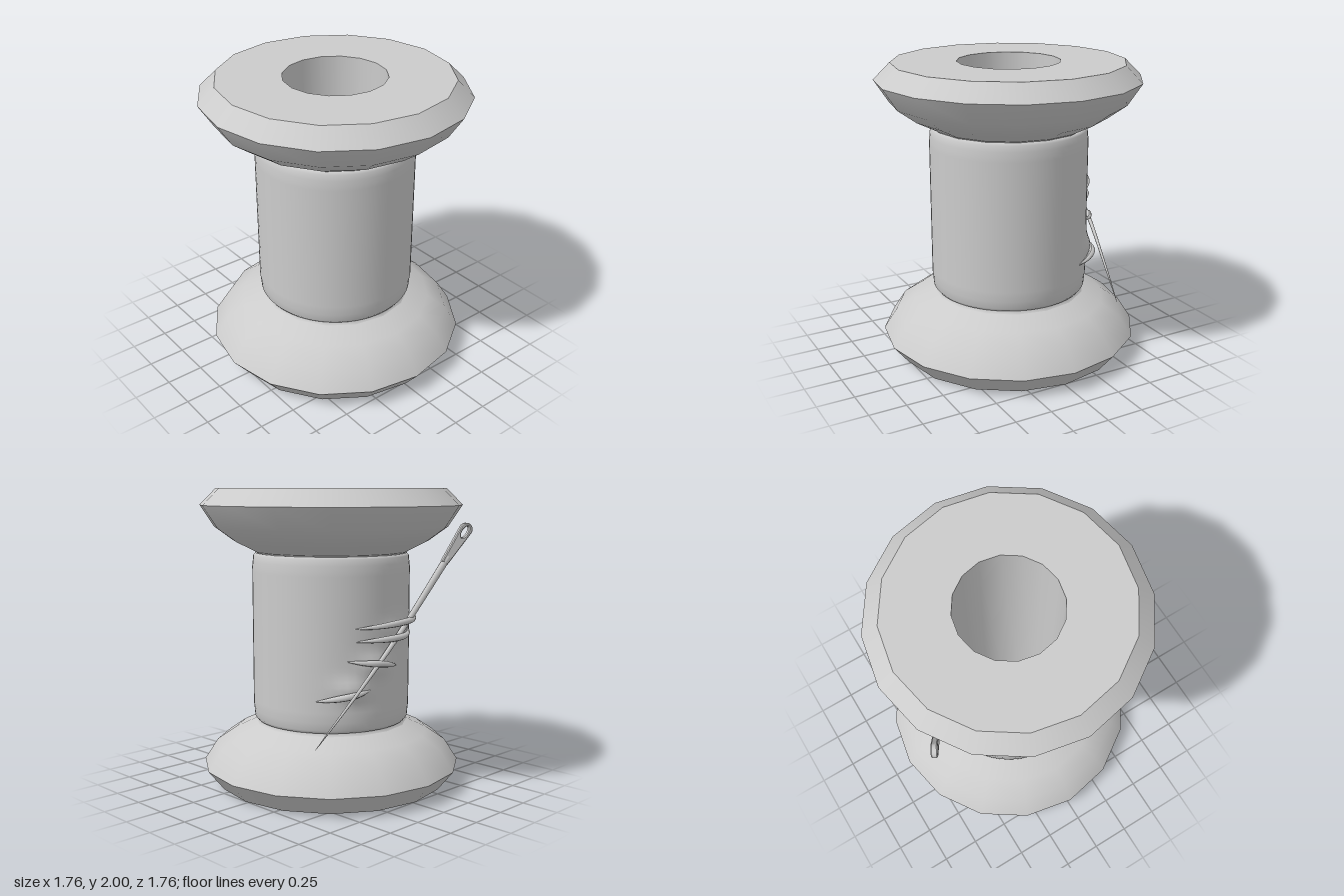
import * as THREE from 'three';
import { mergeVertices } from 'three/addons/utils/BufferGeometryUtils.js';

const grey = new THREE.MeshStandardMaterial({ color: 0xcccccc });
const V = (x, y, z) => new THREE.Vector3(x, y, z);

function add(parent, name, geometry) {
  const mesh = new THREE.Mesh(geometry, grey);
  mesh.name = name;
  parent.add(mesh);
  return mesh;
}

function lathe(profile, sides) {
  return new THREE.LatheGeometry(profile.map(([r, y]) => new THREE.Vector2(r, y)), sides);
}

// Tube whose radius follows a rule along its length
function taperedTube(points, radius, rows, sides) {
  const curve = new THREE.CatmullRomCurve3(points);
  const geo = new THREE.TubeGeometry(curve, rows, 1, sides);
  const pos = geo.attributes.position;
  const p = V(0, 0, 0);
  for (let i = 0; i < pos.count; i++) {
    const t = Math.floor(i / (sides + 1)) / rows;
    const centre = curve.getPointAt(t);
    p.fromBufferAttribute(pos, i).sub(centre).multiplyScalar(radius(t)).add(centre);
    pos.setXYZ(i, p.x, p.y, p.z);
  }
  geo.computeVertexNormals();
  return geo;
}

// Point on the right-hand side of the spool; angle in degrees from -x towards +z
function around(deg, r, y) {
  const a = THREE.MathUtils.degToRad(deg);
  return V(-r * Math.cos(a), y, r * Math.sin(a));
}

function createSpool() {
  const spool = new THREE.Group();
  spool.name = 'spool';
  // Each section is its own lathe so the rims stay sharp
  const sections = {
    bottomFace: [[0.34, 0], [0.77, 0.01]],
    bottomBevel: [[0.77, 0.01], [0.875, 0.14]],
    bottomFlange: [[0.875, 0.14], [0.785, 0.28], [0.66, 0.365], [0.52, 0.43]],
    core: [[0.52, 0.43], [0.49, 0.46], [0.49, 1.56], [0.52, 1.585]],
    topFlange: [[0.52, 1.585], [0.66, 1.655], [0.785, 1.745], [0.88, 1.89]],
    topBevel: [[0.88, 1.89], [0.77, 2]],
    topFace: [[0.77, 2], [0.34, 2]],
    hole: [[0.34, 2], [0.34, 0]],
  };
  for (const [name, profile] of Object.entries(sections)) add(spool, name, lathe(profile, 16));
  return spool;
}

// Wound thread, pushed out a little where the needle runs under it
function createThread() {
  const profile = [[0.48, 0.45], [0.507, 0.45], [0.522, 0.47], [0.526, 0.52]];
  for (let i = 1; i < 30; i++) profile.push([0.53, 0.52 + i * 0.0333]);
  profile.push([0.526, 1.52], [0.522, 1.56], [0.507, 1.575], [0.48, 1.575]);
  let geo = lathe(profile, 64);
  geo.deleteAttribute('uv');
  geo.deleteAttribute('normal');
  geo = mergeVertices(geo, 1e-4);
  const pos = geo.attributes.position;
  const bumps = [[-12, 0.88, 0.035], [-30, 0.73, 0.035], [8, 1.1, 0.025]];
  for (let i = 0; i < pos.count; i++) {
    const x = pos.getX(i), y = pos.getY(i), z = pos.getZ(i);
    const deg = THREE.MathUtils.radToDeg(Math.atan2(z, -x));
    let k = 1;
    for (const [a, h, size] of bumps) {
      k += (size / 0.53) * Math.exp(-(((deg - a) / 11) ** 2) - ((y - h) / 0.07) ** 2);
    }
    pos.setXYZ(i, x * k, y, z * k);
  }
  geo.computeVertexNormals();
  return geo;
}

function createNeedle() {
  const needle = new THREE.Group();
  needle.name = 'needle';
  const eye = V(-0.775, 1.72, 0.44);
  const dir = V(-0.27, 0.82, 0.5).normalize();

  // Flat head with a long eye
  const outline = new THREE.Shape();
  outline.moveTo(-0.022, -0.24);
  outline.lineTo(0.022, -0.24);
  outline.lineTo(0.042, 0.02);
  outline.absarc(0, 0.02, 0.042, 0, Math.PI, false);
  outline.lineTo(-0.022, -0.24);
  const slot = new THREE.Path();
  slot.absellipse(0, 0, 0.02, 0.042, 0, Math.PI * 2, true);
  outline.holes.push(slot);
  const geo = new THREE.ExtrudeGeometry(outline, {
    depth: 0.028, bevelEnabled: true, bevelSize: 0.006, bevelThickness: 0.006,
    bevelOffset: -0.006, bevelSegments: 1, curveSegments: 10,
  });
  geo.translate(0, 0, -0.014);
  const normal = V(0.88, 0, 0.48);
  normal.addScaledVector(dir, -normal.dot(dir)).normalize();
  const across = V(0, 0, 0).crossVectors(dir, normal);
  geo.applyMatrix4(new THREE.Matrix4().makeBasis(across, dir, normal).setPosition(eye));
  add(needle, 'needleHead', geo);

  // Shaft passing through the thread to a fine point
  const start = eye.clone().addScaledVector(dir, -0.19);
  const path = [start, V(-0.58, 1.12, 0.09), V(-0.55, 0.81, -0.22), V(-0.49, 0.42, -0.62)];
  add(needle, 'needleShaft', taperedTube(path, t => 0.001 + 0.023 * (1 - t) ** 0.7, 32, 10));
  return needle;
}

export function createModel() {
  const model = new THREE.Group();
  model.name = 'spoolOfThread';
  model.add(createSpool());
  add(model, 'thread', createThread());
  model.add(createNeedle());

  // Strands pulled over the needle: start angle and height, peak angle, radius and height, end
  const strands = [
    [-31, 1.12, 12, 0.615, 1.16, 38, 1.18],
    [-29, 1.04, 7, 0.595, 1.06, 28, 1.09],
    [-35, 0.92, -12, 0.575, 0.9, 10, 0.86],
    [-56, 0.66, -34, 0.575, 0.7, -14, 0.73],
  ];
  for (const [a, ya, p, rp, yp, b, yb] of strands) {
    const path = [
      around(a, 0.525, ya),
      around((a + p) / 2, (0.54 + rp) / 2, (ya + yp) / 2),
      around(p, rp, yp),
      around((p + b) / 2, (0.54 + rp) / 2, (yp + yb) / 2),
      around(b, 0.525, yb),
    ];
    add(model, 'looseStrand', taperedTube(path, t => 0.001 + 0.021 * Math.sin(Math.PI * t), 20, 8));
  }
  return model;
}
